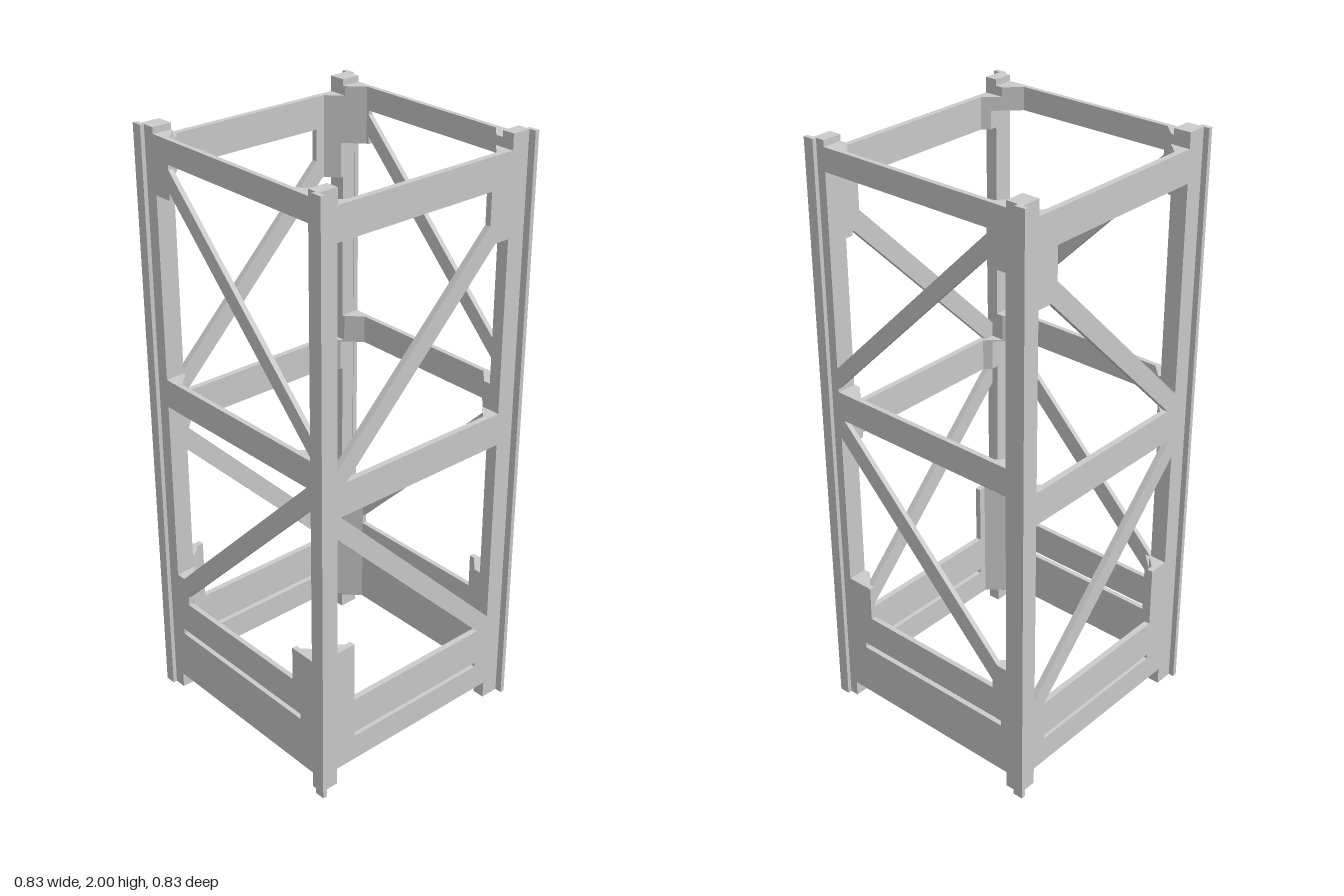
import * as THREE from 'three';

const material = new THREE.MeshStandardMaterial({ color: 0xcccccc, flatShading: true });
const pts = (list) => list.map(([x, y]) => new THREE.Vector2(x, y));

// flat sheet with cut-out windows (outline counter-clockwise)
function sheet(outline, windows, depth) {
  const shape = new THREE.Shape(pts(outline));
  windows.forEach((w) => shape.holes.push(new THREE.Path(pts(w))));
  return new THREE.ExtrudeGeometry(shape, { depth, bevelEnabled: false });
}

// upright prism from a footprint of [x, z] points
function prism(footprint, y0, y1) {
  const shape = new THREE.Shape(pts(footprint.map(([x, z]) => [x, -z])));
  return new THREE.ExtrudeGeometry(shape, { depth: y1 - y0, bevelEnabled: false })
    .rotateX(-Math.PI / 2).translate(0, y0, 0);
}

const rect = (a, b, c, d) => [[a, b], [c, b], [c, d], [a, d]];

export function createModel() {
  const model = new THREE.Group();
  const add = (name, geometry, parent = model) => {
    const mesh = new THREE.Mesh(geometry, material);
    mesh.name = name;
    parent.add(mesh);
    return mesh;
  };

  // front and back truss panels, drawn in x, y
  const frontWindows = [
    [[-0.335, 1.15], [0.255, 1.74], [0.255, 1.845], [-0.335, 1.845]],
    [[-0.3, 1.1], [0.335, 1.1], [0.335, 1.68], [0.28, 1.68]],
    [[-0.32, 0.99], [0.335, 0.335], [0.335, 0.99]],
    [[-0.335, 0.92], [-0.335, 0.51], [-0.263, 0.51], [-0.263, 0.297], [0.288, 0.297]],
    rect(-0.26, 0.152, 0.285, 0.168),
  ];
  const frontGeometry = sheet(rect(-0.4, 0.06, 0.4, 1.95), frontWindows, 0.02);
  add('frontPanel', frontGeometry).position.z = 0.37;
  add('backPanel', frontGeometry).position.z = -0.395;

  // side truss panels, drawn in -z, y and turned to face sideways
  const sideWindows = [
    [[-0.35, 1.27], [0.27, 1.89], [0.27, 1.905], [-0.35, 1.905]],
    [[-0.35, 1.19], [0.335, 1.19], [0.335, 1.795], [0.27, 1.795], [0.27, 1.82], [-0.35, 1.2]],
    [[-0.33, 1.095], [0.3, 0.465], [0.335, 0.465], [0.335, 1.095]],
    [[-0.35, 1.03], [-0.35, 0.49], [-0.255, 0.49], [-0.255, 0.37], [0.28, 0.37], [0.28, 0.4]],
    rect(-0.29, 0.235, 0.315, 0.255),
  ];
  const sideGeometry = sheet(rect(-0.39, 0.055, 0.395, 1.98), sideWindows, 0.017)
    .rotateY(Math.PI / 2);
  add('leftPanel', sideGeometry).position.x = 0.383;
  add('rightPanel', sideGeometry).position.x = -0.4;

  for (const sx of [1, -1]) {
    for (const sz of [1, -1]) {
      const corner = new THREE.Group();
      corner.name = (sz > 0 ? 'front' : 'back') + (sx > 0 ? 'Left' : 'Right') + 'Corner';
      model.add(corner);

      // post with a narrow outer guide rail
      const outer = sz > 0 ? 0.39 : 0.395;
      const inner = sz > 0 ? 0.348 : 0.337;
      const place = (list) => list.map(([x, z]) => [sx * x, sz * z]);
      add('post', prism(place(rect(0.334, inner, 0.4, outer)), 0, 2), corner);
      add('guideRail', prism(place(rect(0.399, 0.378, 0.414, 0.414)), 0, 2), corner);

      // diagonal braces across the corner: one end at the front or back beam's
      // height, one at the side beam's height, and the middle where both overlap
      const face = outer - 0.02;
      const sum = 0.287 + face;
      const frontEnd = place([[0.287, face], [sum - inner, inner], [0.334, inner], [0.334, face]]);
      const middle = place([[sum - inner, inner], [0.334, sum - 0.334], [0.334, inner]]);
      const sideEnd = place([[0.334, sum - 0.334], [0.383, sum - 0.383], [0.383, inner], [0.334, inner]]);
      const levels = [
        ['lowerBrace', 0.06, sx > 0 ? 0.297 : 0.51, 0.055, sz > 0 ? 0.49 : 0.465],
        ['middleBrace', 0.99, 1.1, 1.095, 1.19],
        ['upperBrace', sx > 0 ? 1.68 : 1.845, 1.95, sz > 0 ? 1.905 : 1.795, 1.98],
      ];
      for (const [name, f0, f1, s0, s1] of levels) {
        add(name + 'FrontEnd', prism(frontEnd, f0, f1), corner);
        add(name + 'Middle', prism(middle, Math.max(f0, s0), Math.min(f1, s1)), corner);
        add(name + 'SideEnd', prism(sideEnd, s0, s1), corner);
      }
    }
  }
  return model;
}
